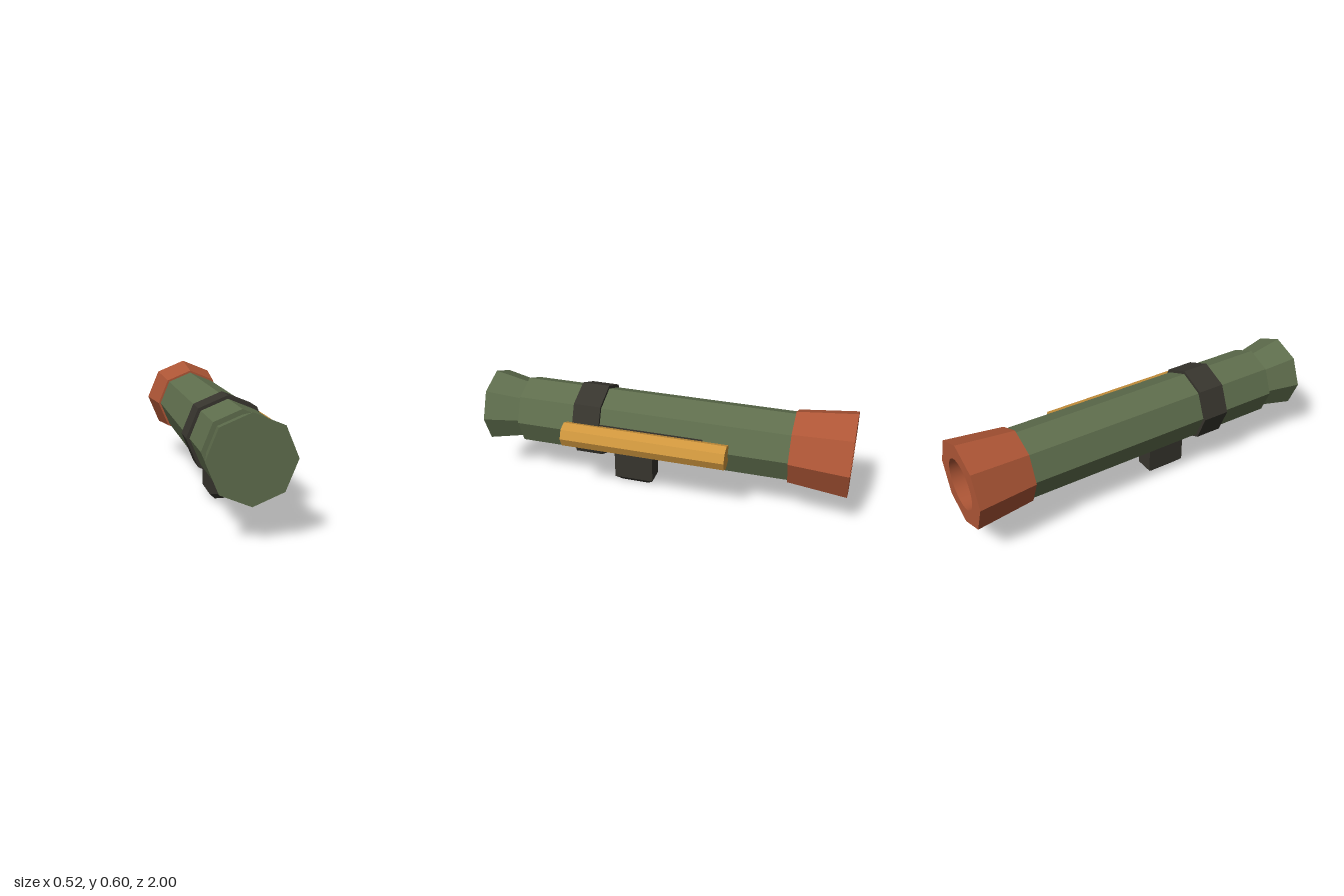
import * as THREE from 'three';

const CX = -0.028, CY = 0.367; // axis of the launch tube

const paint = (name, color) => {
  const m = new THREE.MeshStandardMaterial({ color });
  m.name = name;
  return m;
};

const flat = (geo) => {
  const g = geo.index ? geo.toNonIndexed() : geo;
  g.computeVertexNormals();
  return g;
};

// Turned part along z; profile points are [radius, z]
const turned = (profile, sides) => {
  const g = new THREE.LatheGeometry(profile.map(([r, z]) => new THREE.Vector2(r, z)), sides);
  return g.rotateX(Math.PI / 2).translate(CX, CY, 0);
};

const ringPoints = (r, n) => Array.from({ length: n }, (_, i) => {
  const a = (i / n) * Math.PI * 2;
  return new THREE.Vector2(r * Math.cos(a), r * Math.sin(a));
});

export function createModel() {
  const green = paint('olive green', 0x5f6e4d);
  const red = paint('rust red', 0xae5636);
  const amber = paint('amber', 0xd0973e);
  const dark = paint('charcoal', 0x37352e);
  const model = new THREE.Group();
  model.name = 'launcher';
  const add = (name, geo, mat) => {
    const mesh = new THREE.Mesh(geo, mat);
    mesh.name = name;
    model.add(mesh);
  };

  // Octagonal tube with a flared, closed front end
  add('tube', flat(turned([[0.188, -0.7], [0.188, 0.8], [0.163, 0.8], [0.205, 1], [0, 1]], 8)), green);

  // Flared rear nozzle with a round bore
  add('nozzle', flat(turned([[0.233, -1], [0.2, -0.69], [0.18, -0.69]], 8)), red);
  const rim = new THREE.Shape(ringPoints(0.233, 8));
  rim.holes.push(new THREE.Path(ringPoints(0.135, 32).reverse()));
  add('nozzleRim', new THREE.ShapeGeometry(rim).rotateY(Math.PI).translate(CX, CY, -1), red);
  add('bore', turned([[0.135, -0.4], [0.135, -1]], 32), red);
  add('boreEnd', new THREE.CircleGeometry(0.135, 32).rotateY(Math.PI).translate(CX, CY, -0.4), red);

  // Band around the tube
  add('band', flat(turned([[0.18, 0.327], [0.205, 0.327], [0.205, 0.478], [0.18, 0.478]], 8)), dark);

  // Grip with a chamfered foot
  const grip = new THREE.BoxGeometry(0.11, 0.25, 0.22, 1, 2, 1);
  const p = grip.attributes.position;
  for (let i = 0; i < p.count; i++) {
    if (Math.abs(p.getY(i)) < 0.01) p.setY(i, -0.092);
    else if (p.getY(i) < 0) p.setXYZ(i, p.getX(i) * 0.41, -0.125, p.getZ(i) * 0.69);
  }
  add('grip', flat(grip.translate(CX, 0.125, 0.18)), dark);

  // Side sight: octagonal rod notched where it meets the tube
  const outline = ringPoints(0.067, 8);
  outline[4].x = -0.032;
  const rod = new THREE.ExtrudeGeometry(new THREE.Shape(outline), { depth: 0.89, bevelEnabled: false });
  add('sight', rod.translate(0.194, CY, -0.38), amber);

  // Mount between sight and tube
  add('sightMount', new THREE.BoxGeometry(0.06, 0.104, 0.6).translate(0.112, CY, 0.06), dark);

  return model;
}
